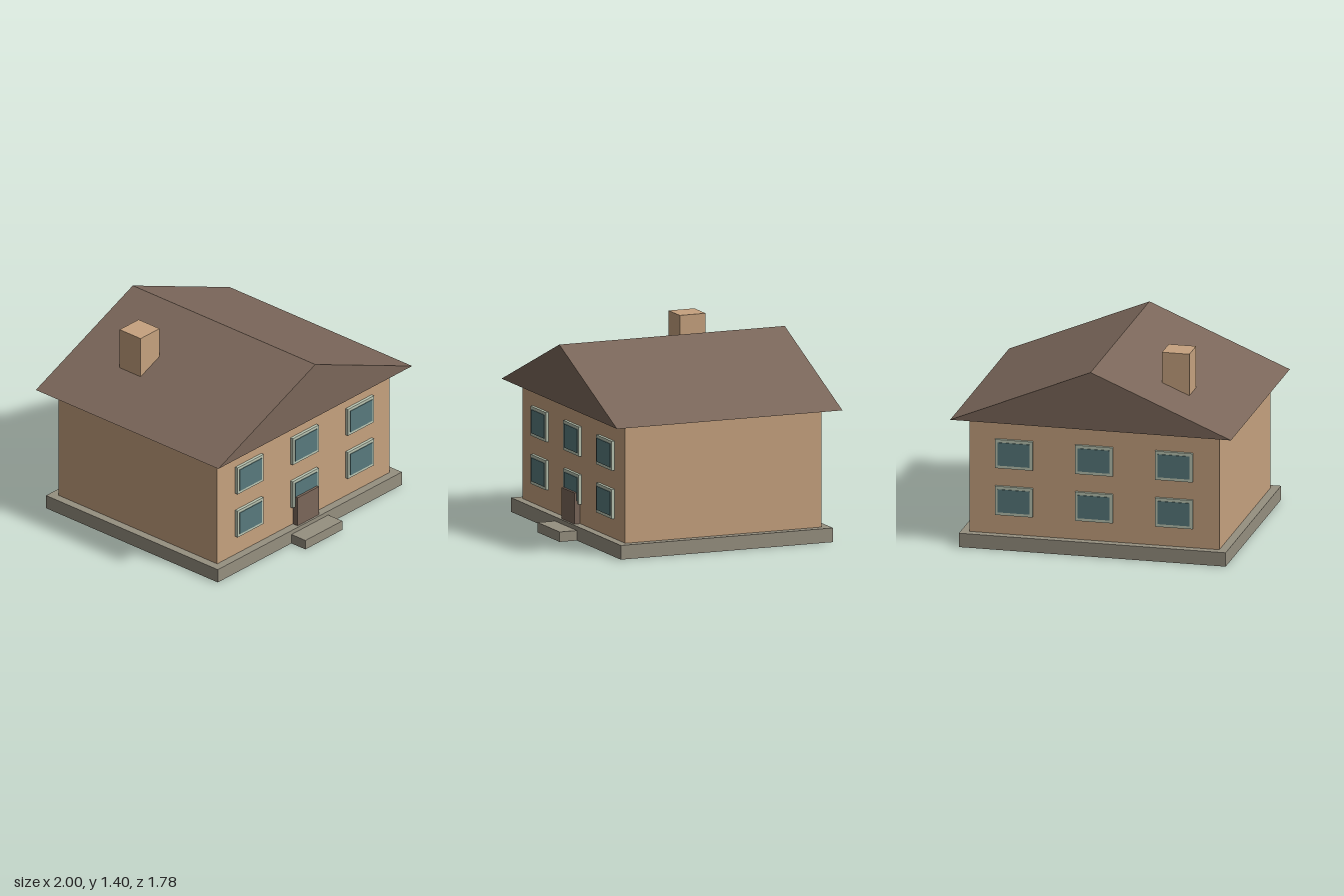
import * as THREE from 'three';

const material = (name, color) => {
  const m = new THREE.MeshStandardMaterial({ color });
  m.name = name;
  return m;
};

export function createModel() {
  const house = new THREE.Group();
  house.name = 'house';

  const wall = material('tan wall', 0xc6a27f);
  const brown = material('brown roof and door', 0x7b675a);
  const stone = material('grey stone', 0x969080);
  const frame = material('pale window frame', 0xbac5b2);
  const glass = material('teal glass', 0x587a7d);

  // Box given by its limits on each axis
  const box = (name, mat, [x0, x1], [y0, y1], [z0, z1], parent = house) => {
    const mesh = new THREE.Mesh(new THREE.BoxGeometry(x1 - x0, y1 - y0, z1 - z0), mat);
    mesh.position.set((x0 + x1) / 2, (y0 + y1) / 2, (z0 + z1) / 2);
    mesh.name = name;
    parent.add(mesh);
    return mesh;
  };

  // Body
  box('foundation', stone, [-0.95, 0.95], [0, 0.1], [-0.84, 0.76]);
  box('frontStep', stone, [-0.19, 0.19], [0, 0.07], [0.76, 0.89]);
  box('walls', wall, [-0.89, 0.89], [0.1, 0.935], [-0.78, 0.7]);
  box('door', brown, [-0.11, 0.11], [0.1, 0.32], [0.7, 0.745]);
  box('chimney', wall, [-0.6, -0.405], [1.0, 1.4], [-0.47, -0.275]);

  // Solid gable roof, ridge running front to back
  const gable = new THREE.Shape([
    new THREE.Vector2(-1, 0.933),
    new THREE.Vector2(1, 0.933),
    new THREE.Vector2(0, 1.35),
  ]);
  const roof = new THREE.Mesh(
    new THREE.ExtrudeGeometry(gable, { depth: 1.7, bevelEnabled: false }), brown);
  roof.position.z = -0.89;
  roof.name = 'roof';
  house.add(roof);

  // Two rows of three windows on the front and on the back
  for (const [side, z, turn] of [['front', 0.7, 0], ['back', -0.78, Math.PI]]) {
    for (const y of [0.344, 0.683]) {
      for (const x of [-0.57, 0, 0.57]) {
        const win = new THREE.Group();
        win.name = side + 'Window';
        box('windowFrame', frame, [-0.134, 0.134], [-0.104, 0.104], [0, 0.022], win);
        box('windowPane', glass, [-0.113, 0.113], [-0.083, 0.083], [0.022, 0.027], win);
        win.position.set(x, y, z);
        win.rotation.y = turn;
        house.add(win);
      }
    }
  }

  return house;
}
